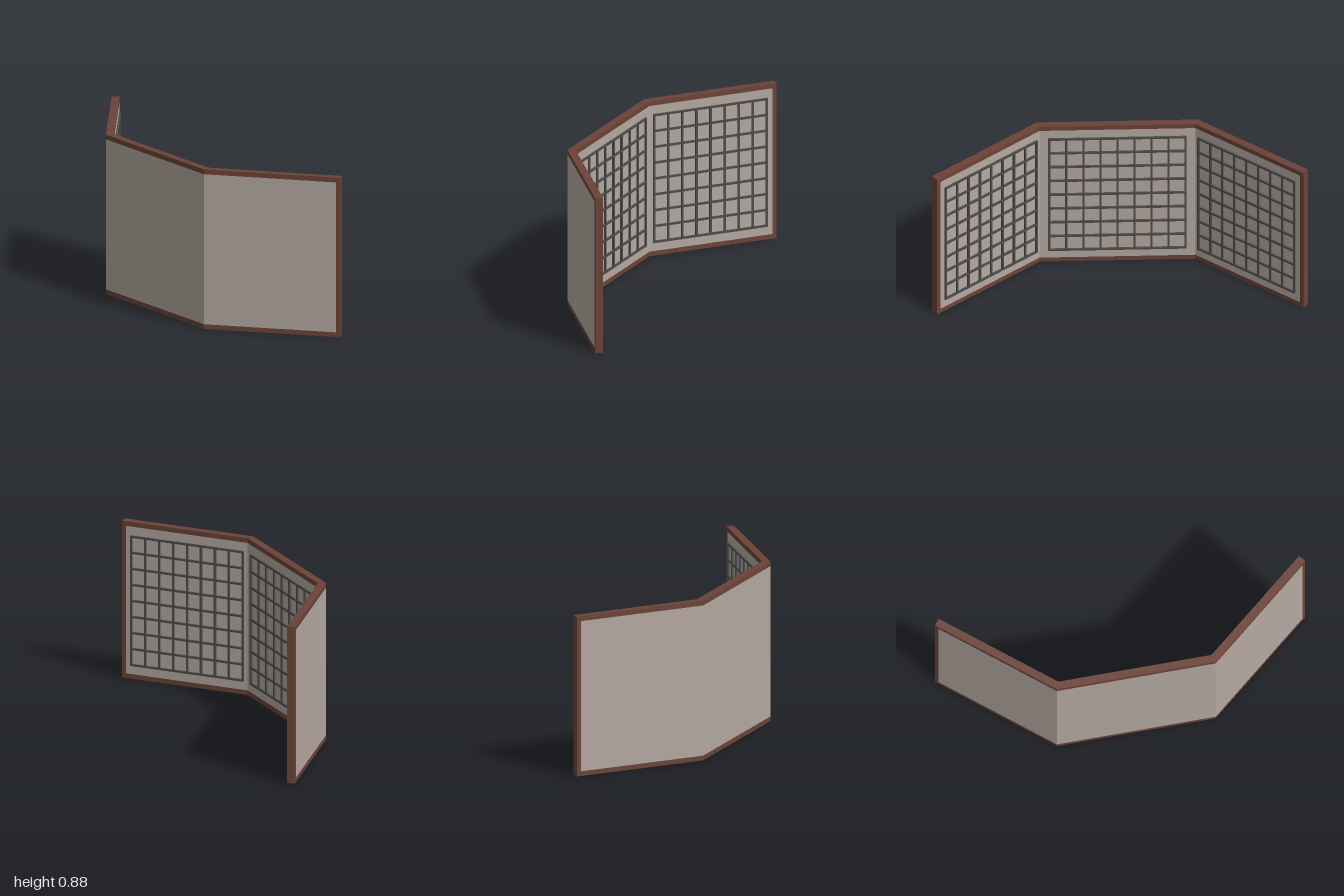
import * as THREE from 'three';

const HEIGHT = 0.88, RAIL = 0.026, STILE = 0.023, T = 0.042;
const frameMat = new THREE.MeshStandardMaterial({ color: 0x6b4338 });
const panelMat = new THREE.MeshStandardMaterial({ color: 0xb5a9a1 });
const latticeMat = new THREE.MeshStandardMaterial({ color: 0x4c4c4c });

// Folded plan, as [x, z]: direction and inward normal of the wing at +z
const fold = [-0.254, 0.429], tip = [0.221, 1];
const len = Math.hypot(tip[0] - fold[0], tip[1] - fold[1]);
const dir = [(tip[0] - fold[0]) / len, (tip[1] - fold[1]) / len];
const normal = [dir[1], -dir[0]];
const foldInner = [fold[0] + T, fold[1] - T * Math.tan(Math.acos(dir[1]) / 2)];

const along = (d, depth) => [0, 1].map(i => tip[i] - dir[i] * d + normal[i] * depth);
const mirror = ([x, z]) => [x, -z];

// Vertical prism over a plan outline
function prism(name, points, y0, y1, material) {
  const shape = new THREE.Shape(points.map(([x, z]) => new THREE.Vector2(x, -z)));
  const geo = new THREE.ExtrudeGeometry(shape, { depth: y1 - y0, bevelEnabled: false });
  geo.rotateX(-Math.PI / 2).translate(0, y0, 0);
  const mesh = new THREE.Mesh(geo, material);
  mesh.name = name;
  return mesh;
}

// Mitred three-leaf outline, its ends shortened by d
function outline(d) {
  const outer = [along(d, 0), fold], inner = [foldInner, along(d, T)];
  return [...outer, ...outer.map(mirror).reverse(), ...inner.map(mirror).reverse(), ...inner.slice(0, 2)];
}

// Square grid of thin bars, in the local xy plane facing +z
function lattice(name, width, y0, y1) {
  const group = new THREE.Group();
  group.name = name;
  const bar = 0.011, depth = 0.012, cells = 8, h = y1 - y0;
  const vertical = new THREE.BoxGeometry(bar, h + bar, depth);
  const horizontal = new THREE.BoxGeometry(width + bar, bar, depth);
  for (let i = 0; i <= cells; i++) {
    const v = new THREE.Mesh(vertical, latticeMat);
    v.name = 'verticalBar';
    v.position.set(-width / 2 + width * i / cells, (y0 + y1) / 2, depth / 2 - 0.002);
    const r = new THREE.Mesh(horizontal, latticeMat);
    r.name = 'horizontalBar';
    r.position.set(0, y0 + h * i / cells, depth / 2 - 0.002);
    group.add(v, r);
  }
  return group;
}

export function createModel() {
  const model = new THREE.Group();
  model.name = 'foldingScreen';

  // Rails along the whole folded length and the infill between them
  model.add(
    prism('bottomRail', outline(0), 0, RAIL, frameMat),
    prism('topRail', outline(0), HEIGHT - RAIL, HEIGHT, frameMat),
    prism('panels', outline(STILE), RAIL, HEIGHT - RAIL, panelMat)
  );

  // End stiles
  const stile = [along(0, 0), along(STILE, 0), along(STILE, T), along(0, T)];
  model.add(
    prism('leftStile', stile, RAIL, HEIGHT - RAIL, frameMat),
    prism('rightStile', stile.map(mirror), RAIL, HEIGHT - RAIL, frameMat)
  );

  // Lattices on the inner faces
  const y0 = 0.08, y1 = 0.8;
  const centre = lattice('centreLattice', 0.725, y0, y1);
  centre.position.x = foldInner[0];
  centre.rotation.y = Math.PI / 2;
  model.add(centre);
  const [cx, cz] = along(0.38, T);
  for (const s of [1, -1]) {
    const wing = lattice(s > 0 ? 'leftWingLattice' : 'rightWingLattice', 0.645, y0, y1);
    wing.position.set(cx, 0, s * cz);
    wing.rotation.y = Math.atan2(normal[0], s * normal[1]);
    model.add(wing);
  }
  return model;
}
